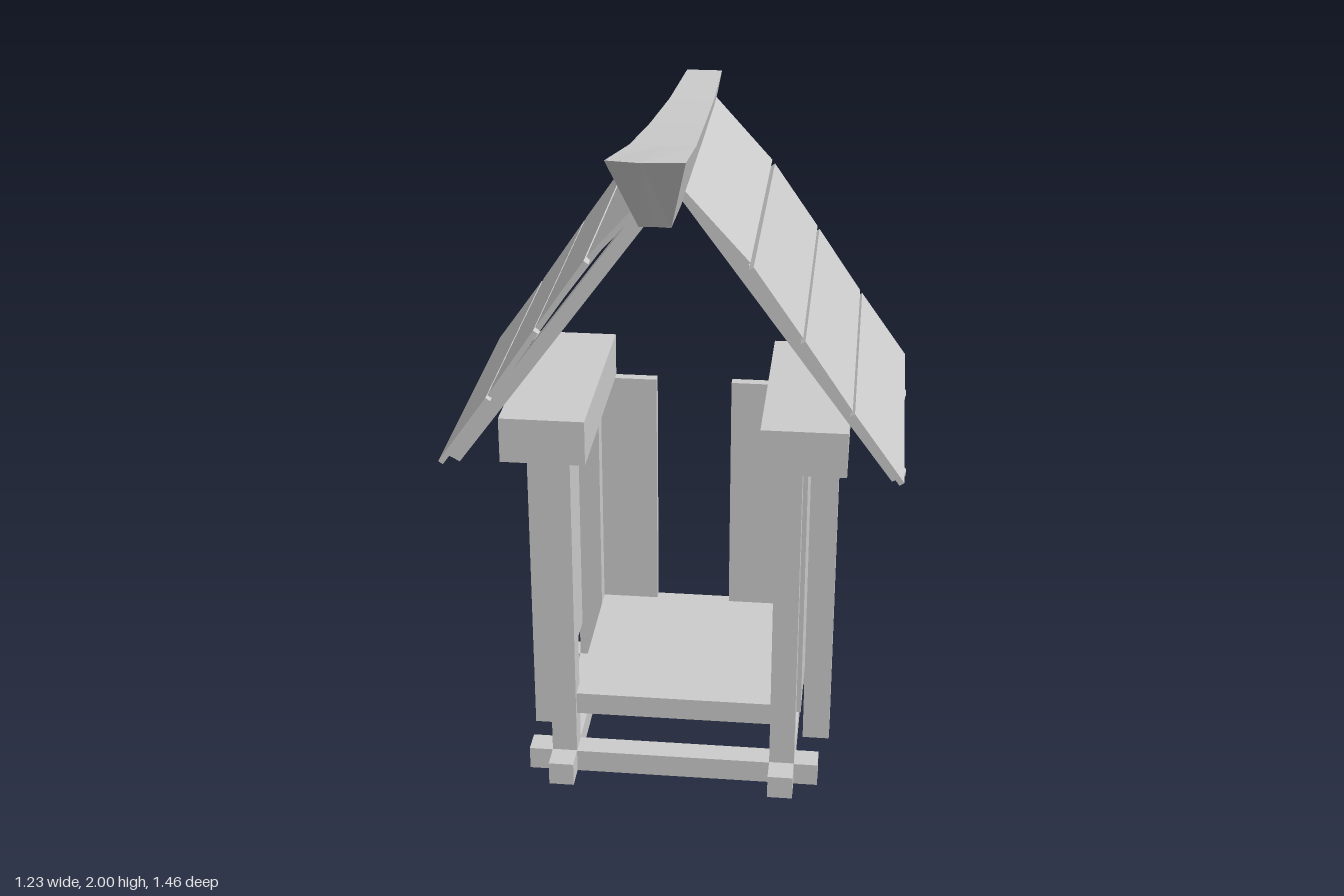
import * as THREE from 'three';

const material = new THREE.MeshStandardMaterial({ color: 0xcccccc, flatShading: true });

export function createModel() {
  const model = new THREE.Group();

  const add = (name, geometry) => {
    const mesh = new THREE.Mesh(geometry, material);
    mesh.name = name;
    model.add(mesh);
    return mesh;
  };

  // Box given by its limits on each axis
  const box = (name, x0, x1, y0, y1, z0, z1) =>
    add(name, new THREE.BoxGeometry(x1 - x0, y1 - y0, z1 - z0))
      .position.set((x0 + x1) / 2, (y0 + y1) / 2, (z0 + z1) / 2);

  // The same box on the left and mirrored on the right
  const pair = (name, x0, x1, ...rest) => {
    box(name + 'Left', x0, x1, ...rest);
    box(name + 'Right', -x1, -x0, ...rest);
  };

  // Polygon in the xy plane, extruded from z0 to z1
  const slab = (name, points, z0, z1) => {
    const shape = new THREE.Shape(points.map(([x, y]) => new THREE.Vector2(x, y)));
    add(name, new THREE.ExtrudeGeometry(shape, { depth: z1 - z0, bevelEnabled: false })).position.z = z0;
  };

  // Base frame of crossing beams, with corner posts on the crossings
  pair('baseSideBeam', 0.275, 0.345, 0, 0.068, -0.54, 0.203);
  for (const [name, z0, z1] of [['front', 0.06, 0.13], ['back', -0.467, -0.395]]) {
    box(name + 'BaseBeam', -0.412, 0.412, 0, 0.066, z0, z1);
    pair(name + 'Post', 0.275, 0.345, 0.06, 0.98, z0, z1);
  }
  pair('middlePost', 0.36, 0.437, 0, 0.98, -0.184, -0.108);

  // Floor, walls and the heavy caps above them
  box('floor', -0.275, 0.275, 0.185, 0.25, -0.481, 0.115);
  pair('sideWall', 0.335, 0.357, 0.185, 0.98, -0.385, 0.045);
  pair('backWall', 0.11, 0.275, 0.185, 0.98, -0.481, -0.451);
  pair('wallCap', 0.232, 0.462, 0.98, 1.107, -0.478, 0.14);

  // Roof planks run along z; each is given by its lower and upper outer edge
  const planks = [
    [0.61, 1.012, 0.476, 1.2],
    [0.47, 1.208, 0.345, 1.393],
    [0.339, 1.402, 0.212, 1.585],
    [0.204, 1.596, 0.035, 1.782],
  ];
  const rafter = [[0.615, 0.974], [0.58, 0.955], [0, 1.74], [0, 1.805]];
  for (const side of [1, -1]) {
    const label = side > 0 ? 'Left' : 'Right';
    const mirror = (points) => points.map(([x, y]) => [x * side, y]);
    for (const [xa, ya, xb, yb] of planks) {
      const length = Math.hypot(xa - xb, yb - ya);
      const dx = -0.015 * (yb - ya) / length;
      const dy = -0.015 * (xa - xb) / length;
      const points = [[xa, ya], [xb, yb], [xb + dx, yb + dy], [xa + dx, ya + dy]];
      slab('roofPlank' + label, mirror(points), -0.648, 0.218);
    }
    slab('frontRafter' + label, mirror(rafter), 0.055, 0.098);
    slab('backRafter' + label, mirror(rafter), -0.465, -0.422);
  }

  add('ridgeBeam', ridgeGeometry());
  return model;
}

// Curved ridge that widens and rises to a pointed prow at the front
function ridgeGeometry() {
  // z, y and half width of the top edges and of the bottom edges
  const top = [[-0.73, 1.83, 0.05], [-0.365, 1.845, 0.06], [0, 1.88, 0.069],
    [0.325, 1.92, 0.079], [0.67, 1.985, 0.09]];
  const bottom = [[-0.67, 1.74, 0.035], [-0.33, 1.738, 0.035], [0, 1.742, 0.035],
    [0.25, 1.75, 0.036], [0.49, 1.773, 0.038]];
  const last = top.length - 1;
  // Each ring runs anticlockwise as seen from the front
  const rings = top.map(([tz, ty, tw], i) => {
    const [bz, by, bw] = bottom[i];
    const front = i === last;
    return [
      [0, front ? 2 : ty, front ? 0.73 : tz], [-tw, ty, tz], [-bw, by, bz],
      [0, front ? 1.79 : by, front ? 0.535 : bz], [bw, by, bz], [tw, ty, tz],
    ];
  });
  const positions = [];
  const quad = (a, b, c, d) => positions.push(...a, ...b, ...c, ...a, ...c, ...d);
  for (let i = 0; i < last; i++) {
    for (let j = 0; j < 6; j++) {
      const k = (j + 1) % 6;
      quad(rings[i][j], rings[i][k], rings[i + 1][k], rings[i + 1][j]);
    }
  }
  // Back end and the two faces of the prow
  const back = rings[0];
  const prow = rings[last];
  quad(back[1], back[5], back[4], back[2]);
  quad(prow[0], prow[1], prow[2], prow[3]);
  quad(prow[0], prow[3], prow[4], prow[5]);
  const geometry = new THREE.BufferGeometry();
  geometry.setAttribute('position', new THREE.Float32BufferAttribute(positions, 3));
  geometry.computeVertexNormals();
  return geometry;
}
